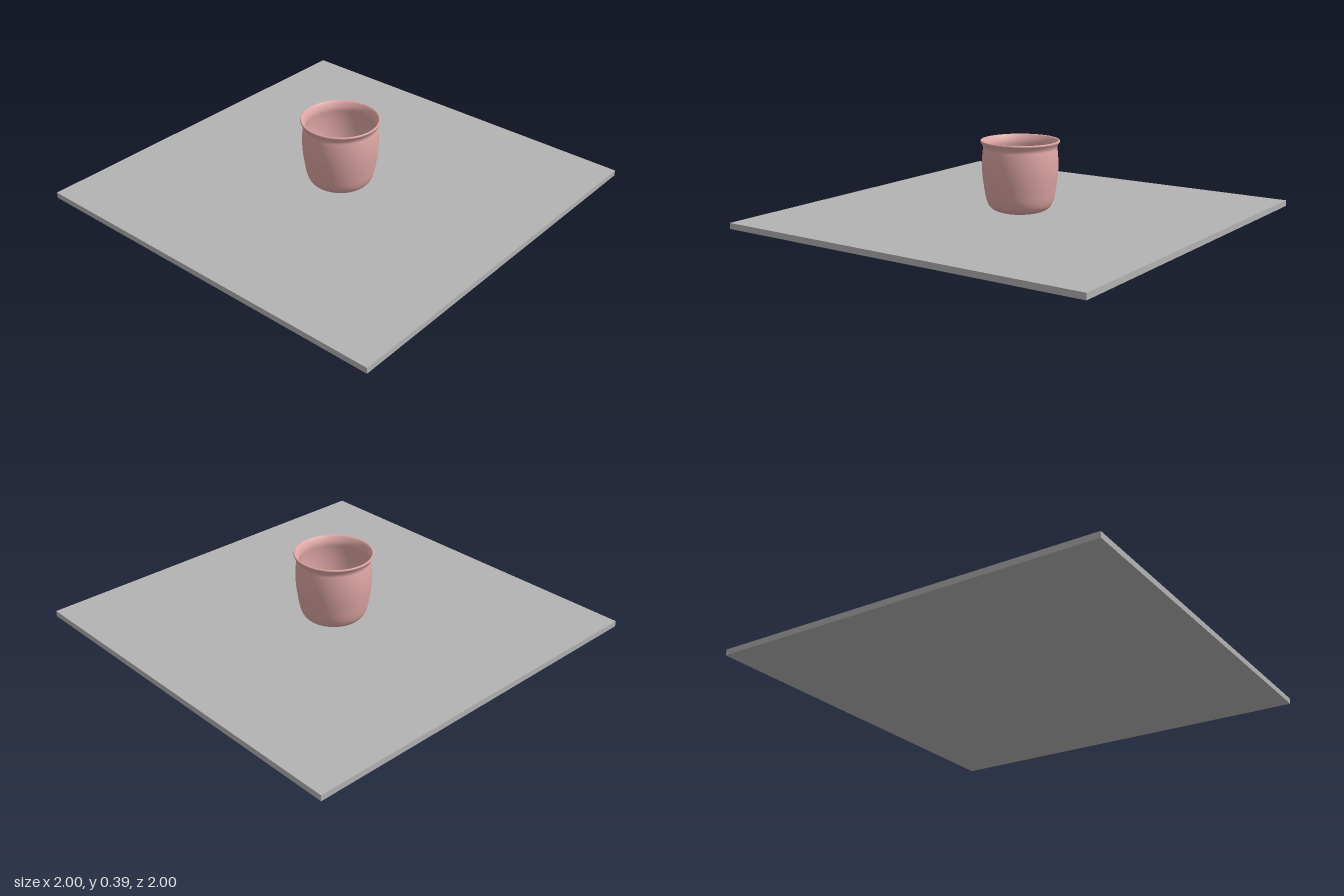
import * as THREE from 'three';

const material = (name, color) => {
  const m = new THREE.MeshStandardMaterial({ color });
  m.name = name;
  return m;
};

// Smooth lathe profile through a few [radius, height] points
function smoothProfile(points, divisions) {
  const curve = new THREE.SplineCurve(points.map(([r, y]) => new THREE.Vector2(r, y)));
  const profile = curve.getPoints(divisions);
  profile.forEach((p) => { p.x = Math.max(p.x, 0); });
  return profile;
}

export function createModel() {
  const group = new THREE.Group();
  group.name = 'cupOnSlab';
  const grey = material('slab grey', 0xb3b3b3);
  const pink = material('dusty pink', 0xdea7a5);

  // Flat square slab
  const slab = new THREE.Mesh(new THREE.BoxGeometry(2, 0.03, 2), grey);
  slab.name = 'slab';
  slab.position.y = 0.015;
  group.add(slab);

  // Outer wall: rounded foot, soft belly, narrow neck, flared lip;
  // then over the lip and down the inner wall to the floor
  const profile = smoothProfile([
    [0, 0.032], [0.06, 0.032], [0.11, 0.036], [0.147, 0.054], [0.167, 0.09],
    [0.179, 0.15], [0.188, 0.22], [0.19, 0.28], [0.187, 0.33], [0.184, 0.355],
    [0.189, 0.371], [0.197, 0.384], [0.195, 0.392], [0.187, 0.389],
    [0.177, 0.37], [0.173, 0.35], [0.176, 0.32], [0.178, 0.28], [0.176, 0.22],
    [0.167, 0.15], [0.155, 0.095], [0.137, 0.066], [0.1, 0.051], [0.05, 0.048], [0, 0.048],
  ], 120);
  const cup = new THREE.Mesh(new THREE.LatheGeometry(profile, 64), pink);
  cup.name = 'cup';
  group.add(cup);

  return group;
}
